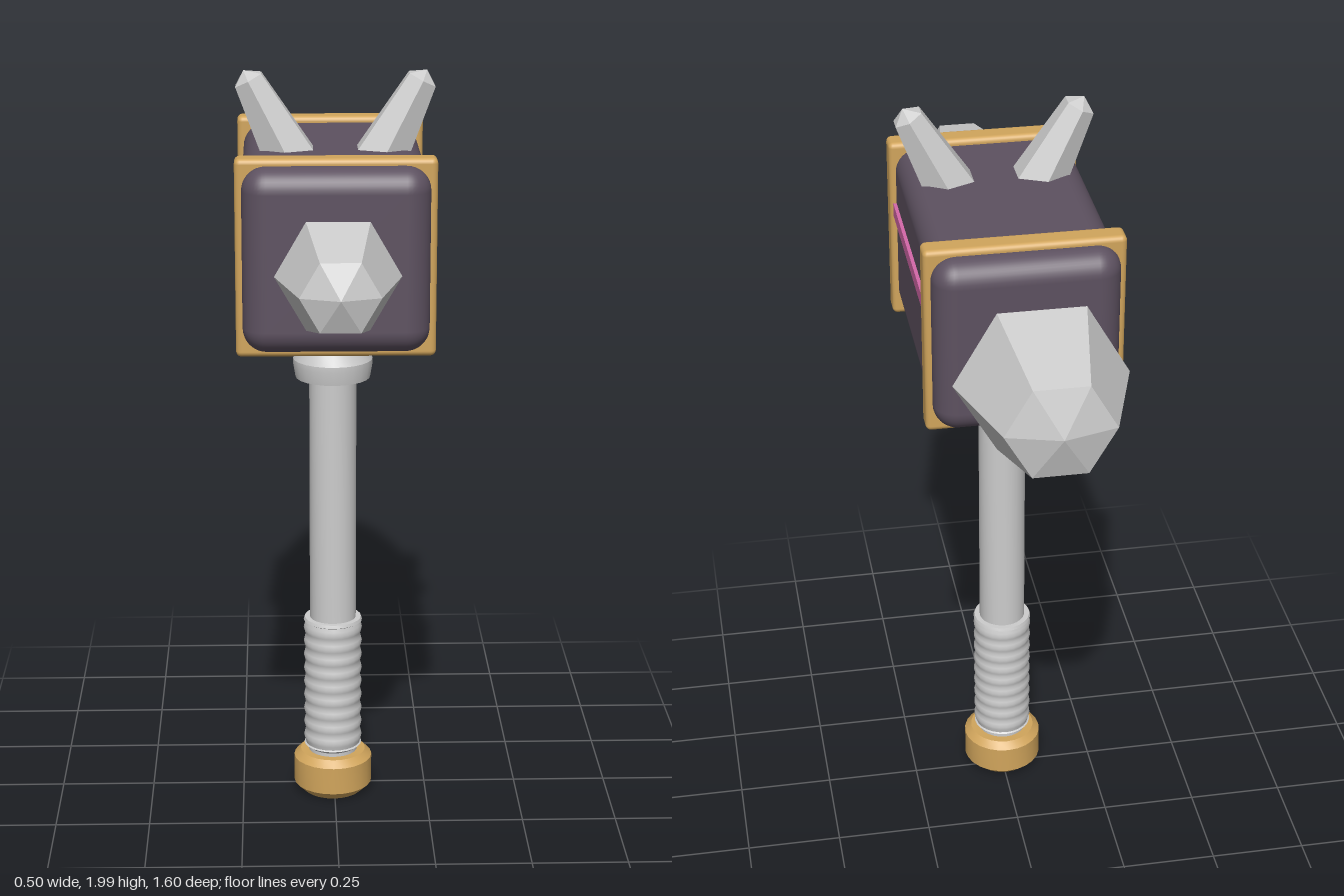
import * as THREE from 'three';
import { toCreasedNormals } from 'three/addons/utils/BufferGeometryUtils.js';
import { RoundedBoxGeometry } from 'three/addons/geometries/RoundedBoxGeometry.js';

const material = (name, color) => {
  const m = new THREE.MeshStandardMaterial({ color });
  m.name = name;
  return m;
};

// Turned shape from [radius, y] pairs listed bottom to top
function turned(profile, sides, crease, start = 0) {
  const points = profile.map(([r, y]) => new THREE.Vector2(r, y));
  return toCreasedNormals(new THREE.LatheGeometry(points, sides, start), crease);
}

export function createModel() {
  const model = new THREE.Group();
  model.name = 'hammer';

  const purple = material('darkPurple', 0x5d5160);
  const gold = material('gold', 0xd1a55c);
  const steel = material('steel', 0xcccccc);
  const pink = material('pink', 0xd468a8);

  const axisX = -0.004, axisZ = 0.03, headY = 1.57;
  const add = (name, geometry, mat, x = axisX, y = 0, z = axisZ) => {
    const mesh = new THREE.Mesh(geometry, mat);
    mesh.name = name;
    mesh.position.set(x, y, z);
    model.add(mesh);
    return mesh;
  };

  // Pommel
  add('pommel', turned([
    [0, 0], [0.08, 0], [0.106, 0.025], [0.106, 0.1], [0.088, 0.118], [0, 0.118],
  ], 24, 0.4), gold);

  // Rippled grip with a narrow neck below it
  const grip = [[0.066, 0.11], [0.066, 0.128], [0.078, 0.137]];
  const ridges = 9, steps = ridges * 4;
  for (let i = 0; i <= steps; i++) {
    grip.push([0.0765 - 0.0025 * Math.cos((i / steps) * ridges * Math.PI * 2), 0.14 + (0.355 * i) / steps]);
  }
  grip.push([0.079, 0.498], [0.076, 0.506], [0.06, 0.506]);
  add('grip', turned(grip, 24, 0.6), steel);

  // Shaft and stepped collar under the head
  add('shaft', turned([[0.062, 0.49], [0.062, 1.2]], 24, 0.6), steel);
  add('collar', turned([
    [0.06, 1.18], [0.098, 1.18], [0.104, 1.215], [0.104, 1.23], [0.09, 1.258],
    [0.09, 1.264], [0.108, 1.275], [0.108, 1.315], [0.095, 1.328], [0, 1.328],
  ], 24, 0.4), steel);

  // Head block, bands and side stripes
  add('head', new RoundedBoxGeometry(0.46, 0.46, 0.8, 5, 0.06), purple, axisX, headY);
  for (const side of [-1, 1]) {
    add(side > 0 ? 'frontBand' : 'backBand', new RoundedBoxGeometry(0.494, 0.494, 0.064, 3, 0.014),
      gold, axisX, headY, axisZ + side * 0.307);
    add(side > 0 ? 'leftStripe' : 'rightStripe', new THREE.BoxGeometry(0.009, 0.036, 0.56),
      pink, axisX + side * 0.2345, 1.632);
  }

  // Six-sided crystal spikes on both ends of the head
  const frontSpike = turned([[0, 0.37], [0.152, 0.55], [0.095, 0.765], [0, 0.798]], 6, 0.01, Math.PI / 2);
  add('frontSpike', frontSpike.rotateX(Math.PI / 2), steel, axisX, headY, 0);
  const backSpike = turned([[0, 0.325], [0.212, 0.517], [0.133, 0.763], [0, 0.8]], 6, 0.01, Math.PI / 2);
  add('backSpike', backSpike.rotateX(-Math.PI / 2), steel, axisX, headY, 0);

  // Two splayed horns on top
  for (const side of [-1, 1]) {
    const horn = turned([[0, 0], [0.076, 0], [0.042, 0.25], [0, 0.276]], 6, 0.01);
    const mesh = add(side > 0 ? 'leftHorn' : 'rightHorn', horn, steel, side * 0.101, 1.75, 0.122);
    mesh.rotation.z = -side * 0.48;
  }

  return model;
}
